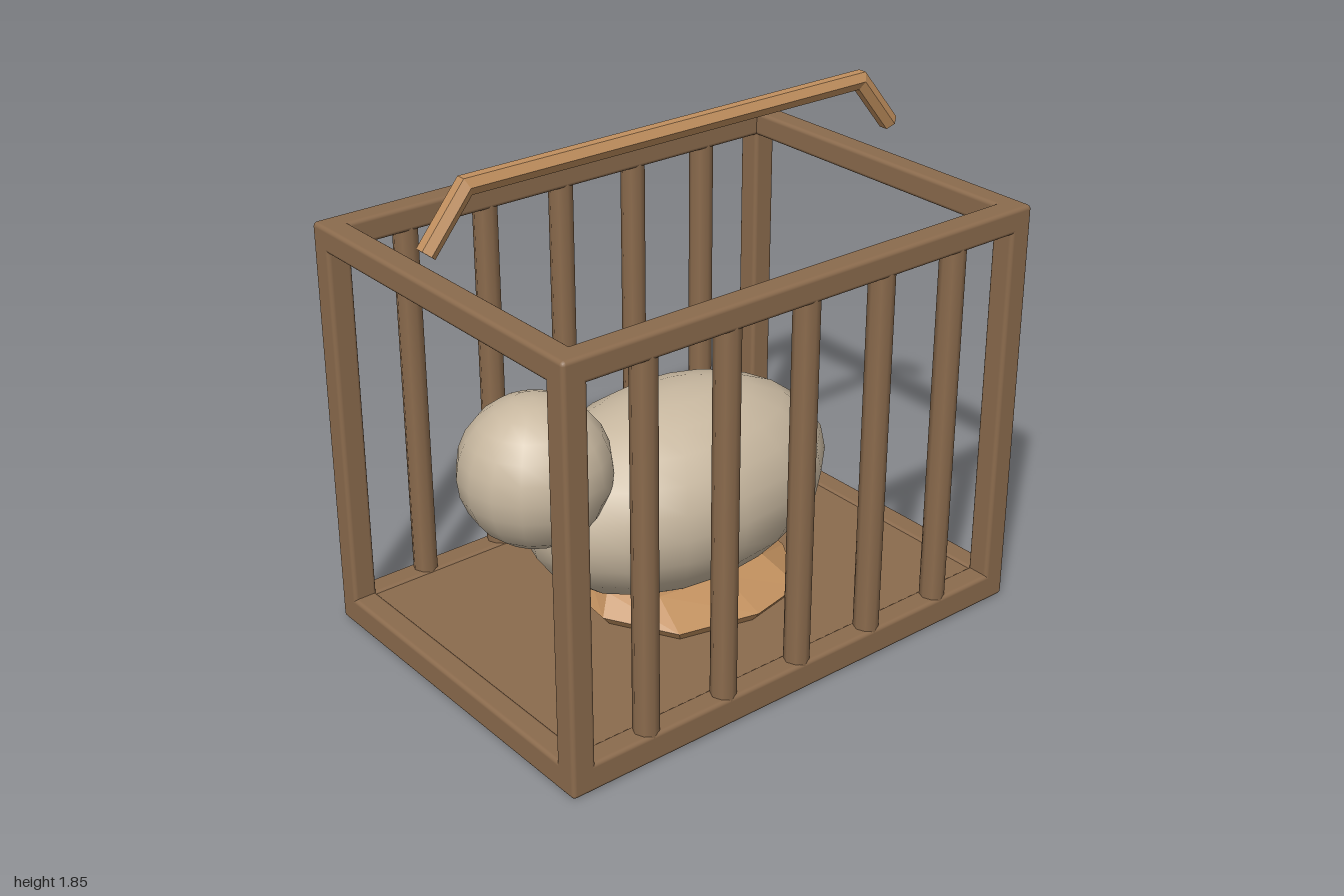
import * as THREE from 'three';
import { RoundedBoxGeometry } from 'three/addons/geometries/RoundedBoxGeometry.js';

const paint = (name, color) => {
  const m = new THREE.MeshStandardMaterial({ color });
  m.name = name;
  return m;
};

// Flat-faced solid through a list of closed rings of Vector3, capped at both ends
function loft(rings) {
  const out = [];
  const tri = (...pts) => pts.forEach((p) => out.push(p.x, p.y, p.z));
  const mid = (ring) => ring.reduce((s, p) => s.add(p), new THREE.Vector3()).divideScalar(ring.length);
  const n = rings[0].length;
  const first = rings[0], last = rings[rings.length - 1];
  const c0 = mid(first), c1 = mid(last);
  for (let j = 0; j < n; j++) {
    const k = (j + 1) % n;
    for (let i = 0; i < rings.length - 1; i++) {
      const a = rings[i], b = rings[i + 1];
      tri(a[j], b[k], a[k]);
      tri(a[j], b[j], b[k]);
    }
    tri(c0, first[j], first[k]);
    tri(c1, last[k], last[j]);
  }
  const g = new THREE.BufferGeometry();
  g.setAttribute('position', new THREE.Float32BufferAttribute(out, 3));
  g.computeVertexNormals();
  return g;
}

export function createModel() {
  const model = new THREE.Group();
  model.name = 'cagedAnimal';
  const darkWood = paint('dark wood', 0x8b6b4d);
  const lightWood = paint('light wood and straw', 0xc08f5e);
  const fur = paint('pale fur', 0xc8b8a0);

  const add = (name, geometry, material, x = 0, y = 0, z = 0, parent = model) => {
    const mesh = new THREE.Mesh(geometry, material);
    mesh.name = name;
    mesh.position.set(x, y, z);
    parent.add(mesh);
    return mesh;
  };

  // Cage frame: corner posts, bottom and top rails
  const cage = new THREE.Group();
  cage.name = 'cage';
  model.add(cage);
  const W = 1.95, D = 1.39, T = 0.09;
  const beam = (name, w, h, d, x, y, z) =>
    add(name, new RoundedBoxGeometry(w, h, d, 2, 0.015), darkWood, x, y, z, cage);
  for (const s of [-1, 1]) {
    for (const [level, y, h] of [['bottom', 0.058, 0.105], ['top', 1.485, T]]) {
      beam(level + 'LongRail', W, h, T, 0, y, s * (D - T) / 2);
      beam(level + 'SideRail', T, h, D, s * (W - T) / 2, y, 0);
    }
    for (const t of [-1, 1]) beam('cornerPost', T, 1.5, T, s * (W - T) / 2, 0.77, t * (D - T) / 2);

    // Five bars on the front and on the back
    for (let i = -2; i <= 2; i++) {
      add('bar', new THREE.CylinderGeometry(0.045, 0.045, 1.36, 8), darkWood, i * 0.325, 0.775, s * (D - T) / 2, cage);
    }
  }
  add('floor', new THREE.BoxGeometry(W - T, 0.045, D - T), darkWood, 0, 0.08, 0, cage);

  // Animal: egg-shaped body and round head
  add('body', new THREE.SphereGeometry(1, 16, 12), fur, 0, 0.52, 0).scale.set(0.625, 0.365, 0.392);
  add('head', new THREE.SphereGeometry(0.265, 16, 12), fur, -0.6, 0.77, 0);

  // Lumpy straw bed, poking slightly through the floor
  const rim = [[0.43, 0.1], [0.28, 0.35], [0.05, 0.4], [-0.25, 0.33], [-0.39, 0.08],
    [-0.36, -0.18], [-0.2, -0.32], [0, -0.445], [0.22, -0.33], [0.38, -0.18]];
  const bedRing = (sx, sz, y) => rim.map(([x, z]) => new THREE.Vector3(x * sx, y, z * sz));
  add('strawBed', loft([
    bedRing(0.45, 0.45, 0.045),
    bedRing(0.92, 0.93, 0.105),
    bedRing(1, 1, 0.142),
    bedRing(0.88, 0.55, 0.212),
  ]), lightWood);

  // Six-sided carrying handle floating over the cage, with mitred bends
  const path = [[-0.974, 1.637], [-0.822, 1.823], [0.822, 1.823], [0.974, 1.637]]
    .map((p) => new THREE.Vector2(...p));
  const normals = path.slice(1).map((p, i) => {
    const d = p.clone().sub(path[i]).normalize();
    return new THREE.Vector2(-d.y, d.x);
  });
  const handle = path.map((p, i) => {
    const a = normals[Math.max(i - 1, 0)], b = normals[Math.min(i, normals.length - 1)];
    const n = a.clone().add(b).divideScalar(1 + a.dot(b));
    return Array.from({ length: 6 }, (_, k) => {
      const t = k * Math.PI / 3, r = 0.034;
      return new THREE.Vector3(p.x + n.x * r * Math.sin(t), p.y + n.y * r * Math.sin(t), r * Math.cos(t));
    });
  });
  add('handle', loft(handle), lightWood);

  return model;
}
